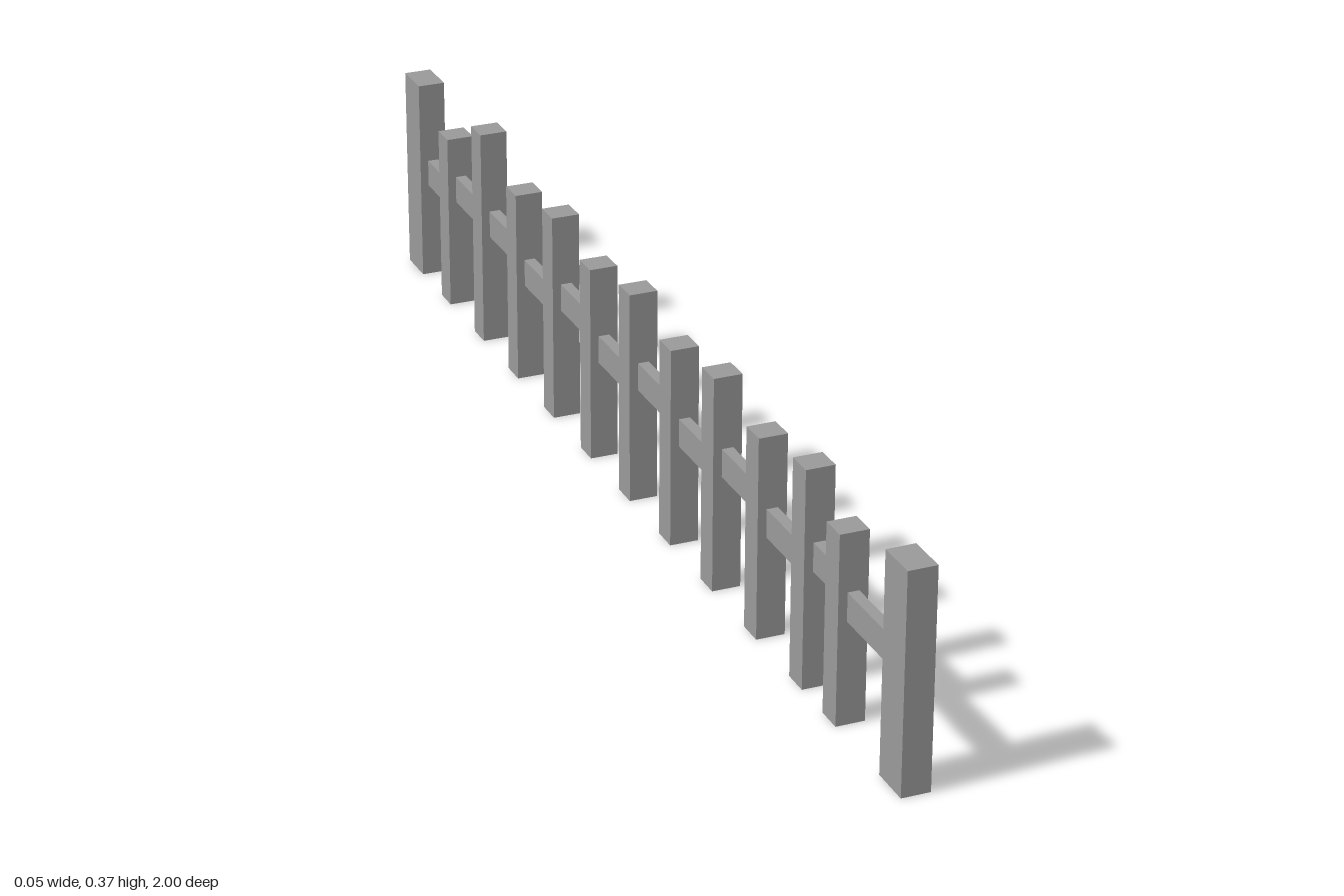
import * as THREE from 'three';

const material = new THREE.MeshStandardMaterial({
  color: 0x999999, flatShading: true, side: THREE.DoubleSide,
});

// Square post standing on the ground, open underneath
function makePost(name, z, height, length) {
  const geometry = new THREE.BoxGeometry(0.046, height, length);
  const index = Array.from(geometry.index.array);
  index.splice(18, 6); // drop the bottom face
  geometry.setIndex(index);
  geometry.clearGroups();
  const post = new THREE.Mesh(geometry, material);
  post.name = name;
  post.position.set(0, height / 2, z);
  return post;
}

// Short board between two z positions
function makeRail(zFront, zBack, y) {
  const rail = new THREE.Mesh(new THREE.BoxGeometry(0.018, 0.046, zFront - zBack), material);
  rail.name = 'rail';
  rail.position.set(0, y, (zFront + zBack) / 2);
  return rail;
}

export function createModel() {
  const fence = new THREE.Group();
  fence.name = 'fence';

  // Pickets: z position and height, front to back
  const pickets = [
    [0.765, 0.305], [0.65, 0.352], [0.488, 0.328], [0.325, 0.352],
    [0.163, 0.328], [0, 0.352], [-0.163, 0.328], [-0.325, 0.352],
    [-0.488, 0.328], [-0.65, 0.374], [-0.813, 0.305],
  ];
  for (const [z, height] of pickets) fence.add(makePost('picket', z, height, 0.044));

  // Thicker end posts
  for (const side of [1, -1]) fence.add(makePost('endPost', side * 0.9655, 0.352, 0.069));

  // Rails step up and down from gap to gap; the raised ones poke past the next picket
  const stops = [0.9655, ...pickets.map(([z]) => z), -0.9655];
  for (let i = 0; i < stops.length - 1; i++) {
    const raised = i % 2 === 1 && i < 11 || i === 10;
    const overhang = raised && i < 10 ? 0.025 : 0;
    fence.add(makeRail(stops[i], stops[i + 1] - overhang, raised ? 0.212 : 0.189));
  }
  return fence;
}
